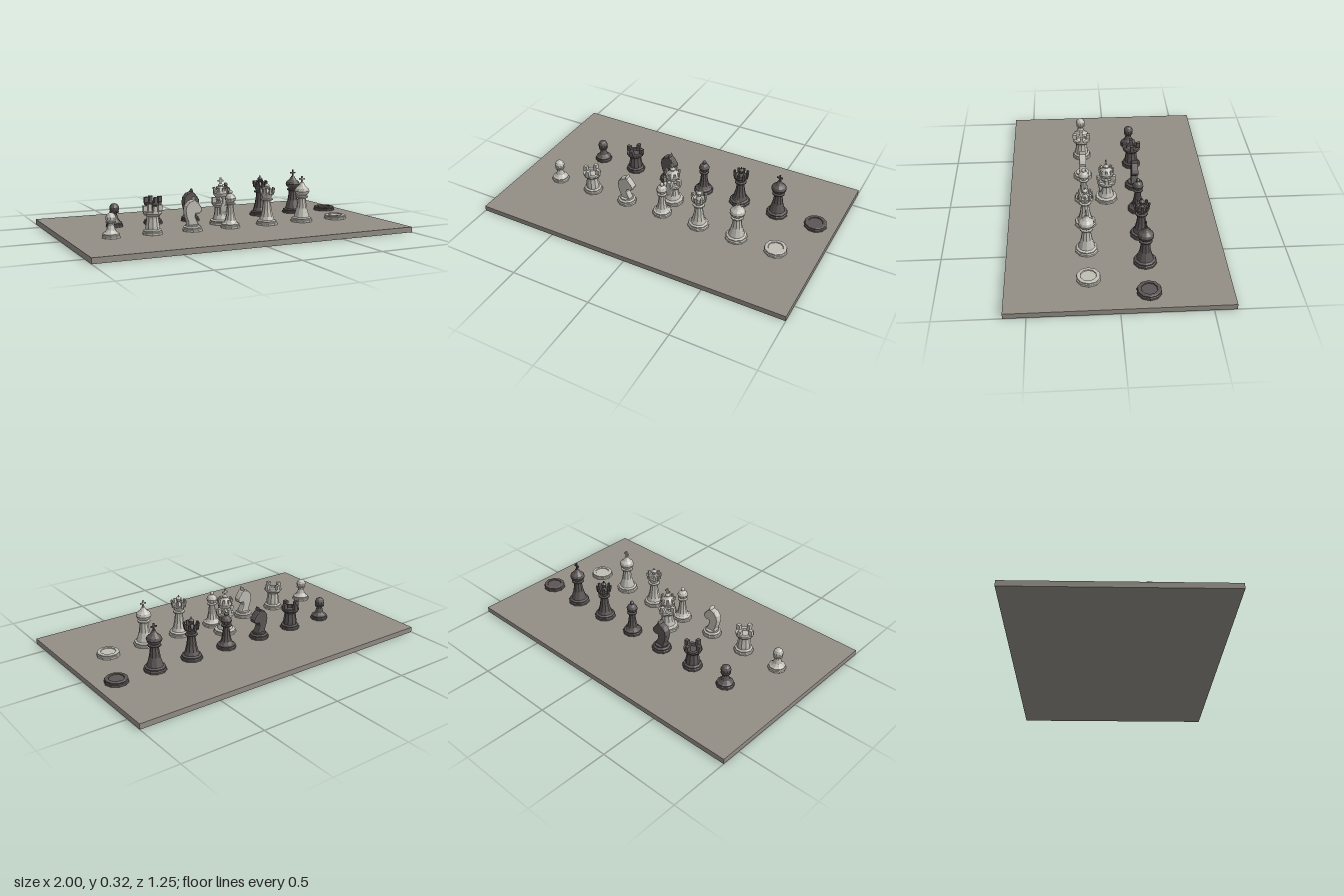
import * as THREE from 'three';

const BOARD_TOP = 0.033;
const SIDES = 10;

// Give every face its own normals for the faceted look
function facet(geo) {
  const g = geo.index ? geo.toNonIndexed() : geo;
  g.computeVertexNormals();
  return g;
}

function add(group, name, geo, mat, x = 0, y = 0, z = 0) {
  const m = new THREE.Mesh(facet(geo), mat);
  m.name = name;
  m.position.set(x, y, z);
  group.add(m);
  return m;
}

function turned(pts, sides = SIDES) {
  return new THREE.LatheGeometry(pts.map(([r, y]) => new THREE.Vector2(r, y)), sides, Math.PI / 2);
}

// Moulded foot shared by all standing pieces
function foot(r) {
  return [[0, 0], [r, 0], [r, 0.012], [r * 0.9, 0.016], [r * 0.92, 0.024], [r * 0.72, 0.03]];
}

function pawn(mat) {
  const g = new THREE.Group();
  add(g, 'pawnBody', turned([...foot(0.054), [0.026, 0.045], [0.019, 0.07], [0.017, 0.083],
    [0.03, 0.087], [0.03, 0.092], [0.016, 0.096]]), mat);
  add(g, 'pawnHead', new THREE.SphereGeometry(0.031, SIDES, 7), mat, 0, 0.112, 0);
  return g;
}

function rook(mat) {
  const g = new THREE.Group();
  add(g, 'rookTower', turned([...foot(0.06), [0.043, 0.045], [0.036, 0.09], [0.036, 0.105], [0.048, 0.112],
    [0.056, 0.122], [0.056, 0.136], [0.036, 0.136], [0.034, 0.122], [0, 0.122]]), mat);
  for (let i = 0; i < 4; i++) {
    const a = i * Math.PI / 2;
    const m = add(g, 'rookMerlon', new THREE.BoxGeometry(0.021, 0.036, 0.025), mat,
      Math.sin(a) * 0.045, 0.15, Math.cos(a) * 0.045);
    m.rotation.y = a;
  }
  return g;
}

function knight(mat) {
  const g = new THREE.Group();
  add(g, 'knightFoot', turned([...foot(0.06), [0.042, 0.038], [0, 0.038]]), mat);
  // Horse head seen from its side, muzzle towards +x
  const outline = [[-0.036, 0.034], [0.034, 0.034], [0.026, 0.052], [0.012, 0.085], [0.016, 0.103],
    [0.038, 0.102], [0.054, 0.114], [0.057, 0.13], [0.046, 0.148], [0.026, 0.174], [0.016, 0.18],
    [0.011, 0.202], [0, 0.184], [-0.026, 0.175], [-0.046, 0.152], [-0.052, 0.122], [-0.046, 0.085], [-0.034, 0.055]];
  const shape = new THREE.Shape(outline.map(p => new THREE.Vector2(...p)));
  const geo = new THREE.ExtrudeGeometry(shape, {
    depth: 0.03, bevelEnabled: true, bevelThickness: 0.006, bevelSize: 0.004, bevelOffset: -0.004, bevelSegments: 1,
  }).translate(0, 0, -0.015);
  add(g, 'knightHead', geo, mat);
  return g;
}

function bishop(mat) {
  const g = new THREE.Group();
  add(g, 'bishopBody', turned([...foot(0.06), [0.034, 0.045], [0.025, 0.08], [0.02, 0.125], [0.018, 0.137],
    [0.031, 0.142], [0.031, 0.148], [0.02, 0.152], [0.031, 0.165], [0.034, 0.178], [0.026, 0.195],
    [0.008, 0.207], [0, 0.208]]), mat);
  add(g, 'bishopFinial', new THREE.SphereGeometry(0.013, SIDES, 6), mat, 0, 0.215, 0);
  return g;
}

function queen(mat) {
  const g = new THREE.Group();
  add(g, 'queenBody', turned([...foot(0.066), [0.04, 0.05], [0.031, 0.085], [0.024, 0.135], [0.024, 0.147],
    [0.037, 0.151], [0.037, 0.159], [0.026, 0.163], [0.033, 0.178], [0.043, 0.197], [0.032, 0.197], [0, 0.19]]), mat);
  // Ring of crown points
  for (let i = 0; i < 8; i++) {
    const a = i * Math.PI / 4;
    const m = add(g, 'queenCrownPoint', new THREE.BoxGeometry(0.014, 0.04, 0.011), mat,
      Math.sin(a) * 0.041, 0.207, Math.cos(a) * 0.041);
    m.rotation.set(0.16, a, 0, 'YXZ');
  }
  add(g, 'queenFinial', turned([[0.022, 0.19], [0.014, 0.208], [0.008, 0.218], [0.016, 0.23], [0.017, 0.24],
    [0.01, 0.249], [0.004, 0.252], [0.004, 0.262], [0, 0.263]]), mat);
  return g;
}

function king(mat) {
  const g = new THREE.Group();
  add(g, 'kingBody', turned([...foot(0.068), [0.043, 0.05], [0.033, 0.085], [0.026, 0.135], [0.026, 0.147],
    [0.039, 0.152], [0.039, 0.16], [0.028, 0.164], [0.042, 0.178], [0.047, 0.192], [0.042, 0.208],
    [0.025, 0.222], [0.016, 0.234], [0.01, 0.246], [0, 0.247]]), mat);
  add(g, 'kingCrossPost', new THREE.BoxGeometry(0.009, 0.046, 0.008), mat, 0, 0.264, 0);
  add(g, 'kingCrossArm', new THREE.BoxGeometry(0.037, 0.009, 0.008), mat, 0, 0.268, 0);
  return g;
}

function disc(mat) {
  const g = new THREE.Group();
  add(g, 'discBody', turned([[0, 0], [0.07, 0], [0.07, 0.012], [0.064, 0.015], [0.067, 0.018], [0.067, 0.024],
    [0.062, 0.027], [0.046, 0.027], [0.044, 0.022], [0, 0.022]]), mat);
  return g;
}

export function createModel() {
  const model = new THREE.Group();
  const material = (name, color) => {
    const m = new THREE.MeshStandardMaterial({ color });
    m.name = name;
    return m;
  };
  const boardGrey = material('boardGrey', 0x928d85);
  const paleStone = material('paleStone', 0xbfbdb4);
  const darkStone = material('darkStone', 0x5c5555);

  add(model, 'board', new THREE.BoxGeometry(2, BOARD_TOP, 1.25), boardGrey, 0, BOARD_TOP / 2, 0);

  const kinds = { pawn, rook, knight, bishop, queen, king, disc };
  const place = (kind, label, mat, x, z, turn = 0) => {
    const piece = kinds[kind](mat);
    piece.name = label + kind[0].toUpperCase() + kind.slice(1);
    piece.position.set(x, BOARD_TOP, z);
    piece.rotation.y = turn;
    model.add(piece);
  };
  Object.keys(kinds).forEach((kind, i) => {
    place(kind, 'pale', paleStone, -0.75 + i * 0.25, 0.162);
    place(kind, 'dark', darkStone, -0.625 + i * 0.25, -0.163);
    // All kinds nested together in the middle of the board
    place(kind, 'centre', paleStone, 0, 0.023, kind === 'knight' ? Math.PI / 2 : 0);
  });
  return model;
}
